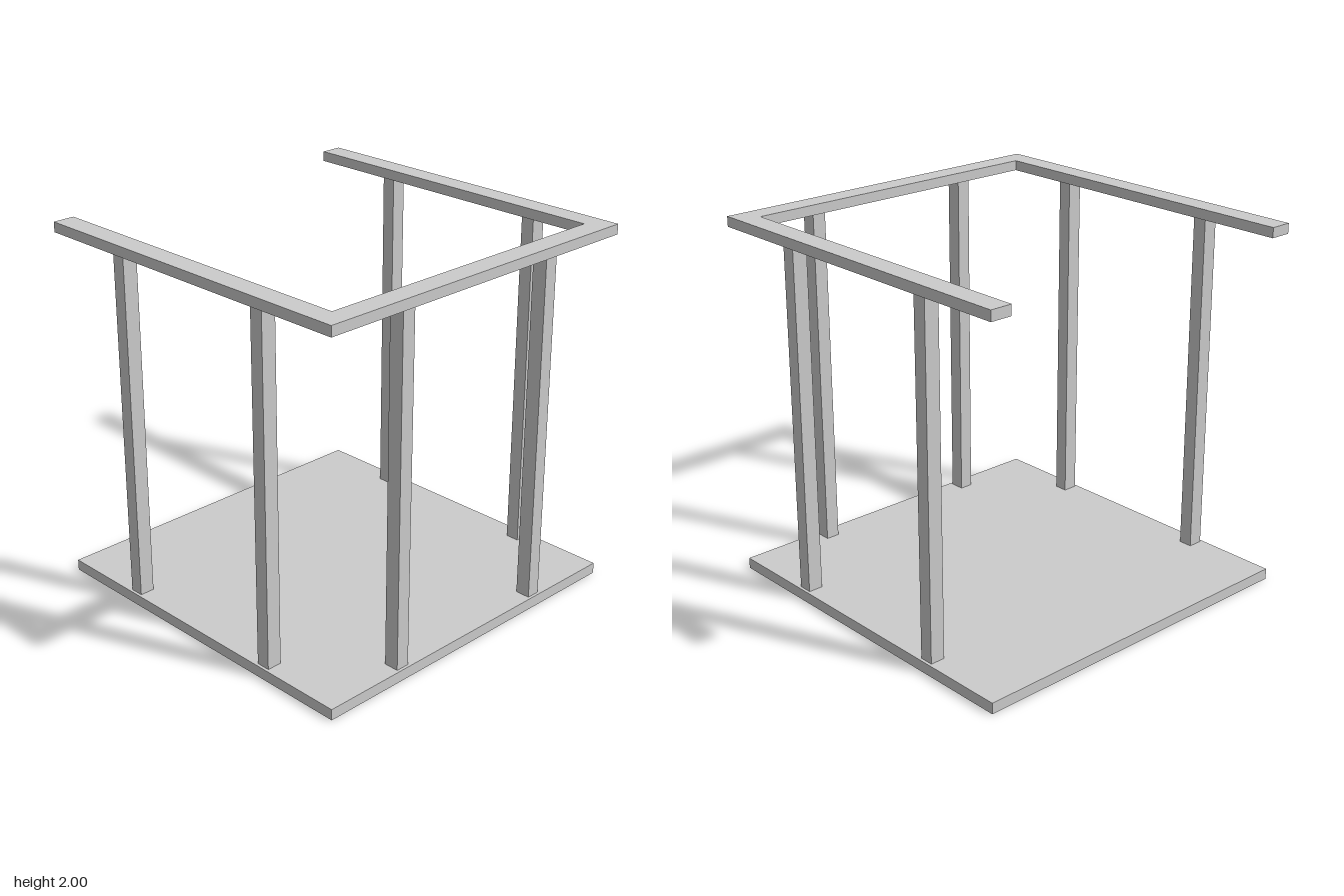
import * as THREE from 'three';

const material = new THREE.MeshStandardMaterial({ color: 0xcccccc, flatShading: true });
const BASE = 0.06, RAIL = 0.055, RAIL_WIDTH = 0.12, HEIGHT = 2;
const POST_ALONG = 0.076, POST_ACROSS = 0.082;

export function createModel() {
  const model = new THREE.Group();
  model.name = 'railedPlatform';

  const add = (name, geometry, x, y, z) => {
    const mesh = new THREE.Mesh(geometry, material);
    mesh.name = name;
    mesh.position.set(x, y, z);
    model.add(mesh);
    return mesh;
  };

  // Square floor slab
  add('floor', new THREE.BoxGeometry(2, BASE, 2), 0, BASE / 2, 0);

  // U-shaped top rail, open at the back (shape y becomes -z)
  const inner = 1 - RAIL_WIDTH;
  const outline = new THREE.Shape([
    [-1, -1], [1, -1], [1, 1], [inner, 1],
    [inner, -inner], [-inner, -inner], [-inner, 1], [-1, 1],
  ].map(([x, y]) => new THREE.Vector2(x, y)));
  const rail = new THREE.ExtrudeGeometry(outline, { depth: RAIL, bevelEnabled: false });
  rail.rotateX(-Math.PI / 2);
  add('topRail', rail, 0, HEIGHT - RAIL, 0);

  // Two posts under each of the three rail sides
  const postHeight = HEIGHT - RAIL - BASE;
  const y = BASE + postHeight / 2;
  const frontPost = new THREE.BoxGeometry(POST_ALONG, postHeight, POST_ACROSS);
  const sidePost = new THREE.BoxGeometry(POST_ACROSS, postHeight, POST_ALONG);
  const edge = 1 - RAIL_WIDTH / 2 + 0.003;
  for (const s of [-1, 1]) {
    const side = s > 0 ? 'left' : 'right';
    add(`${side}FrontRailPost`, frontPost, s * 0.5, y, edge);
    add(`${side}SideFrontPost`, sidePost, s * edge, y, 0.5);
    add(`${side}SideBackPost`, sidePost, s * edge, y, -0.5);
  }

  return model;
}
